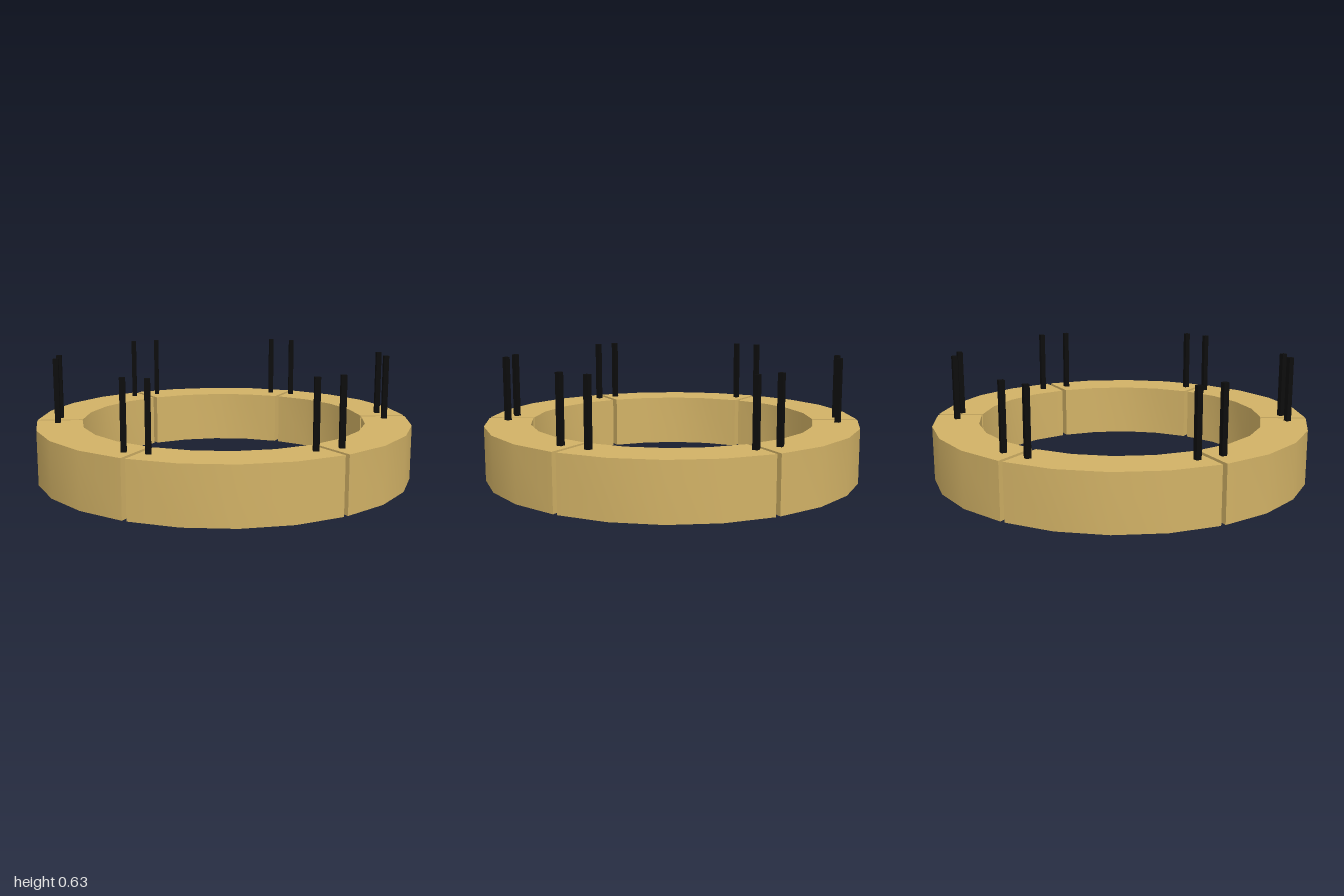
import * as THREE from 'three';
import { toCreasedNormals } from 'three/addons/utils/BufferGeometryUtils.js';

const OUTER = 0.976, INNER = 0.736, HEIGHT = 0.287;
const SPREAD = 0.024; // each segment is pushed outward, opening parallel gaps
const PIN_TOP = 0.627, PIN_SIZE = 0.027, PIN_SINK = 0.02;

// 60 degree ring sector in four straight steps, centred on +x
function segmentGeometry() {
  const points = [];
  const steps = 4, half = Math.PI / 6;
  for (let i = 0; i <= steps; i++) {
    const a = -half + (2 * half * i) / steps;
    points.push(new THREE.Vector2(OUTER * Math.cos(a), OUTER * Math.sin(a)));
  }
  for (let i = steps; i >= 0; i--) {
    const a = -half + (2 * half * i) / steps;
    points.push(new THREE.Vector2(INNER * Math.cos(a), INNER * Math.sin(a)));
  }
  const geometry = new THREE.ExtrudeGeometry(new THREE.Shape(points), { depth: HEIGHT, bevelEnabled: false });
  geometry.rotateX(-Math.PI / 2);
  geometry.translate(SPREAD, 0, 0);
  return toCreasedNormals(geometry, 0.5);
}

export function createModel() {
  const model = new THREE.Group();
  model.name = 'segmentedRing';
  const ringMaterial = new THREE.MeshStandardMaterial({ color: 0xd2b266 });
  const pinMaterial = new THREE.MeshStandardMaterial({ color: 0x0d0d0d });

  // Six ring segments
  const segment = segmentGeometry();
  for (let i = 0; i < 6; i++) {
    const mesh = new THREE.Mesh(segment, ringMaterial);
    mesh.name = `ringSegment${i + 1}`;
    mesh.rotation.y = Math.PI / 6 + (i * Math.PI) / 3;
    model.add(mesh);
  }

  // Upright square pins, one near each end of every segment: [x, z]
  const pinHeight = PIN_TOP - HEIGHT + PIN_SINK;
  const pin = new THREE.BoxGeometry(PIN_SIZE, pinHeight, PIN_SIZE);
  const pinSpots = [
    [-0.37, -0.802], [0.357, -0.802],
    [0.475, -0.738], [0.868, -0.095],
    [0.868, 0.065], [0.5, 0.73],
    [0.37, 0.783], [-0.388, 0.783],
    [-0.5, 0.74], [-0.88, 0.068],
    [-0.88, -0.07], [-0.507, -0.736],
  ];
  pinSpots.forEach(([x, z], i) => {
    const mesh = new THREE.Mesh(pin, pinMaterial);
    mesh.name = `pin${i + 1}`;
    mesh.position.set(x, PIN_TOP - pinHeight / 2, z);
    model.add(mesh);
  });

  return model;
}
